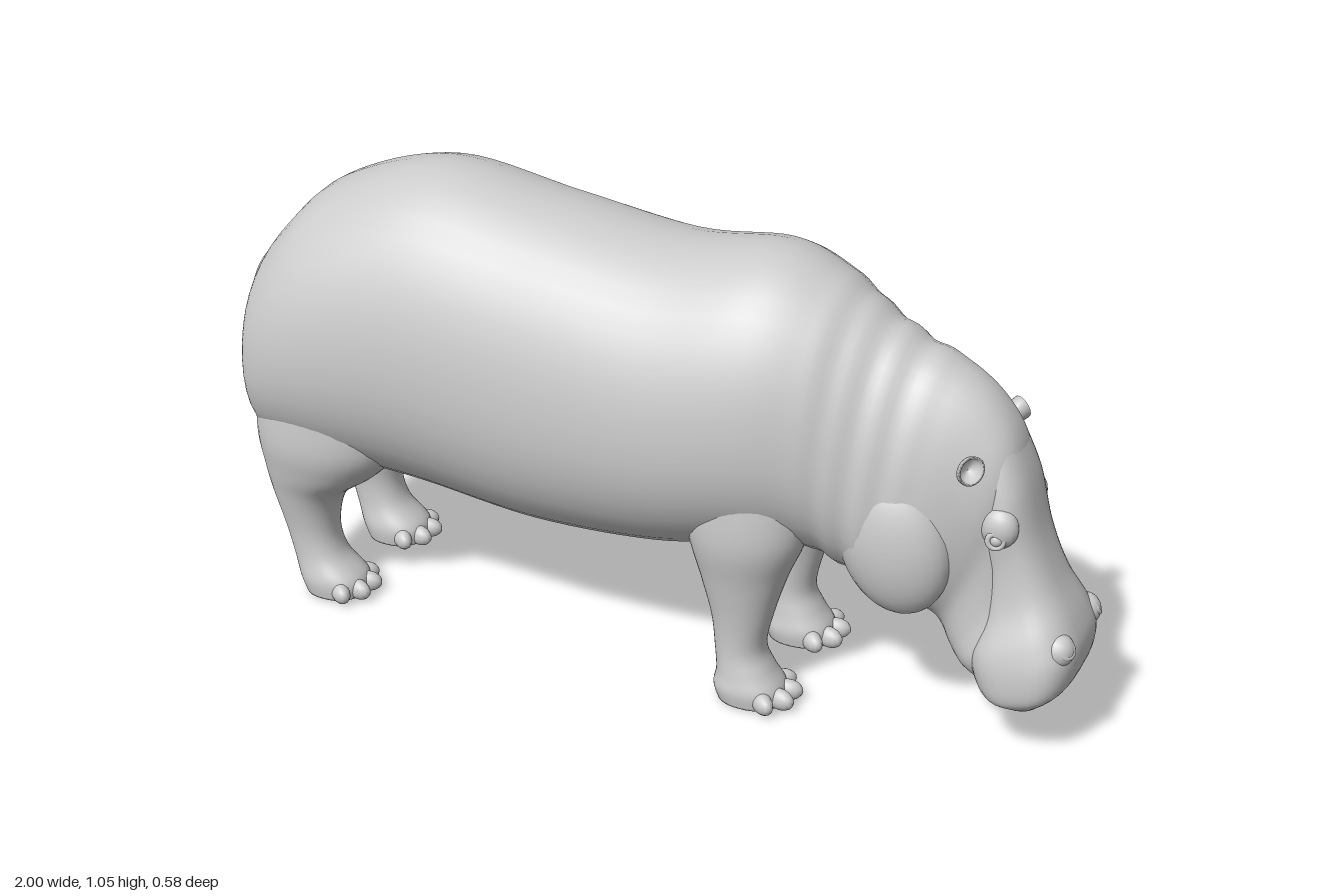
import * as THREE from 'three';

const mat = new THREE.MeshStandardMaterial({ color: 0xcccccc, side: THREE.DoubleSide });
const SEG = 40;

function add(parent, name, geometry) {
  const mesh = new THREE.Mesh(geometry, mat);
  mesh.name = name;
  parent.add(mesh);
  return mesh;
}

// Catmull-Rom blend of one column of the section table
function blend(rows, i, t, col) {
  const at = (j) => rows[Math.min(Math.max(j, 0), rows.length - 1)][col];
  const [a, b, c, d] = [at(i - 1), at(i), at(i + 1), at(i + 2)];
  return b + 0.5 * t * (c - a + t * (2 * a - 5 * b + 4 * c - d + t * (3 * (b - c) + d - a)));
}

// Closed skin through superellipse rings. Each row holds:
// ring's first edge x, y, opposite edge x, y, half width, squareness, widening toward the opposite edge
function loft(rows, steps = 6, swell = () => 1) {
  const pos = [], index = [], mids = [];
  const total = (rows.length - 1) * steps;
  for (let r = 0; r <= total; r++) {
    const i = Math.min(Math.floor(r / steps), rows.length - 2);
    const [ax, ay, bx, by, w, n, k] = [0, 1, 2, 3, 4, 5, 6].map((c) => blend(rows, i, r / steps - i, c));
    const cx = (ax + bx) / 2, cy = (ay + by) / 2;
    mids.push([cx, cy]);
    const f = swell(cx);
    for (let s = 0; s < SEG; s++) {
      const t = (s / SEG) * Math.PI * 2;
      const power = (v) => Math.sign(v) * Math.pow(Math.abs(v), 2 / n);
      const u = power(Math.cos(t)), v = power(Math.sin(t));
      pos.push(cx + (ax - cx) * u * f, cy + (ay - cy) * u * f, w * v * (1 - k * u) * f);
      if (r < total) {
        const p = r * SEG + s, q = r * SEG + (s + 1) % SEG;
        index.push(p, q, p + SEG, q, q + SEG, p + SEG);
      }
    }
  }
  const first = pos.length / 3, last = first + 1, end = total * SEG;
  pos.push(...mids[0], 0, ...mids[total], 0);
  for (let s = 0; s < SEG; s++) {
    const q = (s + 1) % SEG;
    index.push(first, q, s, last, end + s, end + q);
  }
  const g = new THREE.BufferGeometry();
  g.setAttribute('position', new THREE.Float32BufferAttribute(pos, 3));
  g.setIndex(index);
  g.computeVertexNormals();
  return g;
}

// Barrel trunk, neck, cheeks and lower jaw
const bodyRows = [
  [-0.922, 0.68, -0.915, 0.46, 0.10, 2, 0],
  [-0.90, 0.775, -0.895, 0.385, 0.185, 2.1, 0],
  [-0.84, 0.865, -0.86, 0.335, 0.25, 2.1, 0.04],
  [-0.72, 0.97, -0.72, 0.32, 0.287, 2.1, 0.06],
  [-0.48, 1.047, -0.48, 0.30, 0.288, 2.05, 0.06],
  [-0.20, 1.01, -0.20, 0.274, 0.285, 2.1, 0.05],
  [0.08, 0.975, 0.08, 0.292, 0.285, 2.1, 0.05],
  [0.30, 0.997, 0.28, 0.335, 0.265, 2.1, 0.08],
  [0.43, 0.957, 0.41, 0.355, 0.23, 2.1, 0.1],
  [0.52, 0.90, 0.49, 0.33, 0.20, 2.1, 0.15],
  [0.61, 0.848, 0.56, 0.295, 0.182, 2.2, 0.2],
  [0.70, 0.812, 0.62, 0.278, 0.165, 2.3, 0.22],
  [0.78, 0.755, 0.66, 0.268, 0.143, 2.4, 0.2],
  [0.835, 0.67, 0.685, 0.25, 0.122, 2.5, 0.08],
  [0.855, 0.55, 0.70, 0.225, 0.105, 2.5, 0.05],
  [0.86, 0.40, 0.72, 0.19, 0.105, 2.5, 0.05],
  [0.86, 0.28, 0.75, 0.16, 0.115, 2.5, 0],
  [0.86, 0.20, 0.79, 0.135, 0.10, 2.4, 0],
];

// Upper face flaring into the broad muzzle
const snoutRows = [
  [0.82, 0.70, 0.75, 0.56, 0.085, 2.3, 0],
  [0.862, 0.60, 0.775, 0.46, 0.104, 2.5, 0.03],
  [0.895, 0.48, 0.795, 0.38, 0.099, 2.7, 0.05],
  [0.935, 0.385, 0.79, 0.29, 0.110, 2.8, 0.05],
  [0.98, 0.305, 0.775, 0.215, 0.142, 3, 0.04],
  [1.0, 0.245, 0.785, 0.16, 0.154, 3, 0],
  [0.99, 0.175, 0.815, 0.122, 0.150, 3, 0],
  [0.95, 0.13, 0.86, 0.112, 0.125, 2.6, 0],
];

const frontLegRows = [
  [0.43, 0.56, 0.16, 0.56, 0.09, 2, 0],
  [0.43, 0.42, 0.17, 0.40, 0.098, 2.1, 0],
  [0.39, 0.31, 0.20, 0.29, 0.076, 2.1, 0],
  [0.36, 0.21, 0.225, 0.20, 0.06, 2.1, 0],
  [0.345, 0.13, 0.235, 0.12, 0.055, 2.1, 0],
  [0.365, 0.08, 0.24, 0.07, 0.062, 2.2, 0],
  [0.39, 0.04, 0.235, 0.035, 0.07, 2.3, 0],
  [0.39, 0.005, 0.245, 0.004, 0.066, 2.3, 0],
];

const hindLegRows = [
  [-0.50, 0.56, -0.89, 0.56, 0.11, 2, 0],
  [-0.53, 0.41, -0.892, 0.41, 0.118, 2.1, 0],
  [-0.60, 0.325, -0.88, 0.32, 0.10, 2.1, 0],
  [-0.69, 0.255, -0.865, 0.25, 0.076, 2.1, 0],
  [-0.715, 0.17, -0.84, 0.16, 0.058, 2.1, 0],
  [-0.70, 0.10, -0.82, 0.09, 0.057, 2.2, 0],
  [-0.65, 0.045, -0.805, 0.04, 0.069, 2.3, 0],
  [-0.65, 0.005, -0.79, 0.004, 0.066, 2.3, 0],
];

const tailRows = [
  [-0.83, 0.70, -0.82, 0.88, 0.07, 2, 0],
  [-0.90, 0.67, -0.895, 0.79, 0.052, 2, 0],
  [-0.925, 0.655, -0.95, 0.74, 0.03, 2, 0],
  [-0.95, 0.63, -0.985, 0.675, 0.02, 2, 0],
  [-0.965, 0.595, -1.0, 0.60, 0.015, 2, 0],
  [-0.98, 0.55, -0.993, 0.55, 0.008, 2, 0],
];

function makeLeg(name, rows, toeX, z) {
  const leg = new THREE.Group();
  leg.name = name;
  leg.position.z = z;
  add(leg, 'limb', loft(rows, 5));
  // Four blunt toes fanned round the front of the foot
  for (let i = 0; i < 4; i++) {
    const a = (i - 1.5) * 0.72;
    const toe = add(leg, 'toe', new THREE.SphereGeometry(1, 14, 10));
    toe.scale.set(0.034, 0.024, 0.02);
    toe.position.set(toeX - 0.07 + Math.cos(a) * 0.06, 0.024, Math.sin(a) * 0.06);
    toe.rotation.y = -a * 0.6;
  }
  return leg;
}

// Mesh whose local +y is turned to face a direction
function aim(mesh, x, y, z, dir) {
  mesh.position.set(x, y, z);
  mesh.quaternion.setFromUnitVectors(new THREE.Vector3(0, 1, 0), new THREE.Vector3(...dir).normalize());
  return mesh;
}

export function createModel() {
  const model = new THREE.Group();
  model.name = 'hippopotamus';

  // Skin folds round the neck
  const folds = (x) => (x > 0.42 && x < 0.68
    ? 1 + 0.014 * Math.sin(((x - 0.42) / 0.26) * Math.PI) * Math.sin((x - 0.42) * 97) : 1);
  add(model, 'body', loft(bodyRows, 7, folds));
  add(model, 'snout', loft(snoutRows));
  add(model, 'tail', loft(tailRows));

  // Cupped ear and ring profiles
  const cup = [[0.001, -0.03], [0.018, -0.024], [0.03, 0], [0.031, 0.02], [0.026, 0.019], [0.022, 0], [0.001, -0.012]]
    .map(([x, y]) => new THREE.Vector2(x, y));
  const ring = (radius, tube) => new THREE.TorusGeometry(radius, tube, 10, 24).rotateX(Math.PI / 2);

  for (const side of [1, -1]) {
    model.add(makeLeg('frontLeg', frontLegRows, 0.405, side * 0.138));
    model.add(makeLeg('hindLeg', hindLegRows, -0.64, side * 0.138));

    // Hanging jowl
    const jowl = add(model, 'jowl', new THREE.SphereGeometry(1, 28, 20));
    jowl.position.set(0.615, 0.45, side * 0.12);
    jowl.scale.set(0.12, 0.165, 0.078);
    jowl.rotation.z = 0.25;

    const ear = aim(add(model, 'ear', new THREE.LatheGeometry(cup, 20)), 0.77, 0.655, side * 0.142, [0.55, 0.4, side * 0.8]);
    ear.scale.set(0.8, 1, 1);

    // Brow, eyeball and lid
    const brow = add(model, 'brow', new THREE.SphereGeometry(1, 18, 12));
    brow.position.set(0.825, 0.515, side * 0.092);
    brow.scale.set(0.04, 0.045, 0.03);
    aim(add(model, 'eye', new THREE.SphereGeometry(0.015, 16, 12)), 0.826, 0.497, side * 0.11, [0, 1, 0]);
    aim(add(model, 'eyelid', ring(0.016, 0.006)), 0.826, 0.497, side * 0.116, [0.3, 0.1, side]);

    // Raised nostril
    const mound = add(model, 'nostrilMound', new THREE.SphereGeometry(1, 16, 12));
    mound.position.set(0.965, 0.265, side * 0.09);
    mound.scale.set(0.034, 0.036, 0.034);
    aim(add(model, 'nostril', ring(0.016, 0.007)), 0.984, 0.274, side * 0.098, [0.8, 0.5, side * 0.4]);
  }
  return model;
}
